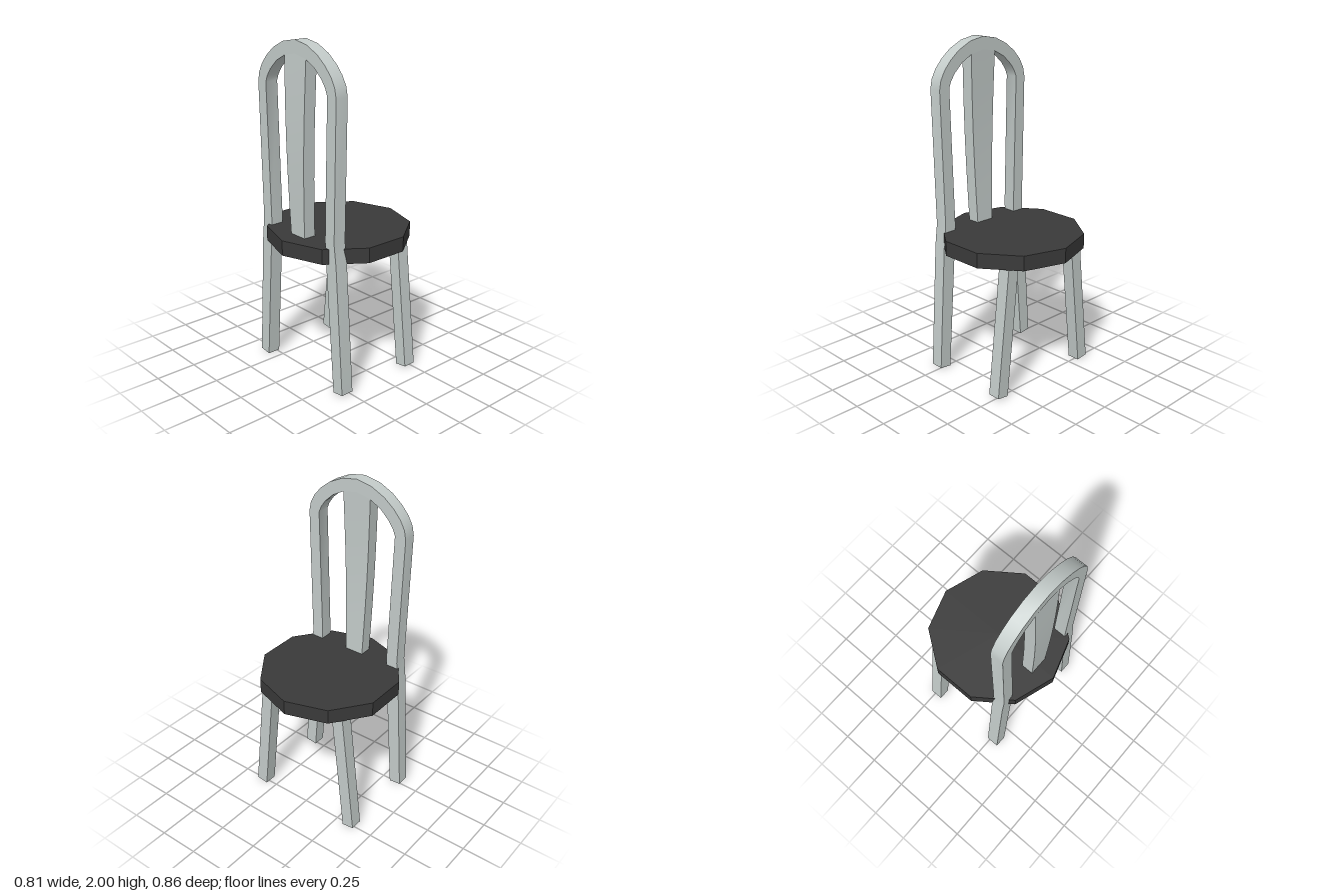
import * as THREE from 'three';
import { toCreasedNormals } from 'three/addons/utils/BufferGeometryUtils.js';

const paint = new THREE.MeshStandardMaterial({ name: 'paleGreyPaint', color: 0xc3cbc9 });
const dark = new THREE.MeshStandardMaterial({ name: 'charcoalSeat', color: 0x3a3a3a });

function part(name, geometry, material) {
  const mesh = new THREE.Mesh(geometry, material);
  mesh.name = name;
  return mesh;
}

// Extrude a closed outline from z0 to z1
function slab(points, z0, z1) {
  const shape = new THREE.Shape(points.map(([x, y]) => new THREE.Vector2(x, y)));
  const g = new THREE.ExtrudeGeometry(shape, { depth: z1 - z0, bevelEnabled: false });
  g.translate(0, 0, z0);
  return toCreasedNormals(g, 0.5);
}

// Half outline plus its mirror image, the centre point shared
const mirrored = (half) => [...half, ...half.slice(0, -1).reverse().map(([x, y]) => [-x, y])];

export function createModel() {
  const chair = new THREE.Group();
  chair.name = 'chair';

  // Ten-sided seat
  const seat = part('seat', new THREE.CylinderGeometry(0.428, 0.428, 0.09, 10).toNonIndexed(), dark);
  seat.geometry.computeVertexNormals();
  seat.position.y = 0.837;
  chair.add(seat);

  // One bent hoop forms the two front legs and the arch
  const outer = mirrored([[0.385, 0.01], [0.334, 0.79], [0.318, 0.92], [0.336, 1.73],
    [0.325, 1.785], [0.296, 1.838], [0.25, 1.89], [0.187, 1.94], [0.1, 1.982], [0, 2]]);
  const inner = mirrored([[0.31, 0], [0.25, 0.8], [0.243, 0.92], [0.265, 1.735],
    [0.25, 1.773], [0.22, 1.815], [0.163, 1.868], [0.09, 1.907], [0, 1.925]]);
  chair.add(part('archFrame', slab([...outer, ...inner.reverse()], 0.235, 0.315), paint));

  // Splayed legs on the other side
  for (const side of [1, -1]) {
    const outline = [[0.31, 0], [0.385, 0.01], [0.297, 0.81], [0.221, 0.81]];
    chair.add(part(side > 0 ? 'backLegLeft' : 'backLegRight',
      slab(outline.map(([x, y]) => [x * side, y]), -0.275, -0.198), paint));
  }

  // Central splat, wider at the top and bowed forward in the middle
  const splat = new THREE.BoxGeometry(1, 1.06, 0.076, 1, 6, 1);
  const p = splat.attributes.position;
  for (let i = 0; i < p.count; i++) {
    const t = p.getY(i) / 1.06 + 0.5;
    p.setXYZ(i, p.getX(i) * (0.12 + 0.066 * t), 0.87 + 1.06 * t,
      p.getZ(i) + 0.275 + 0.011 * Math.sin(Math.PI * t));
  }
  splat.computeVertexNormals();
  chair.add(part('backSplat', splat, paint));

  return chair;
}
